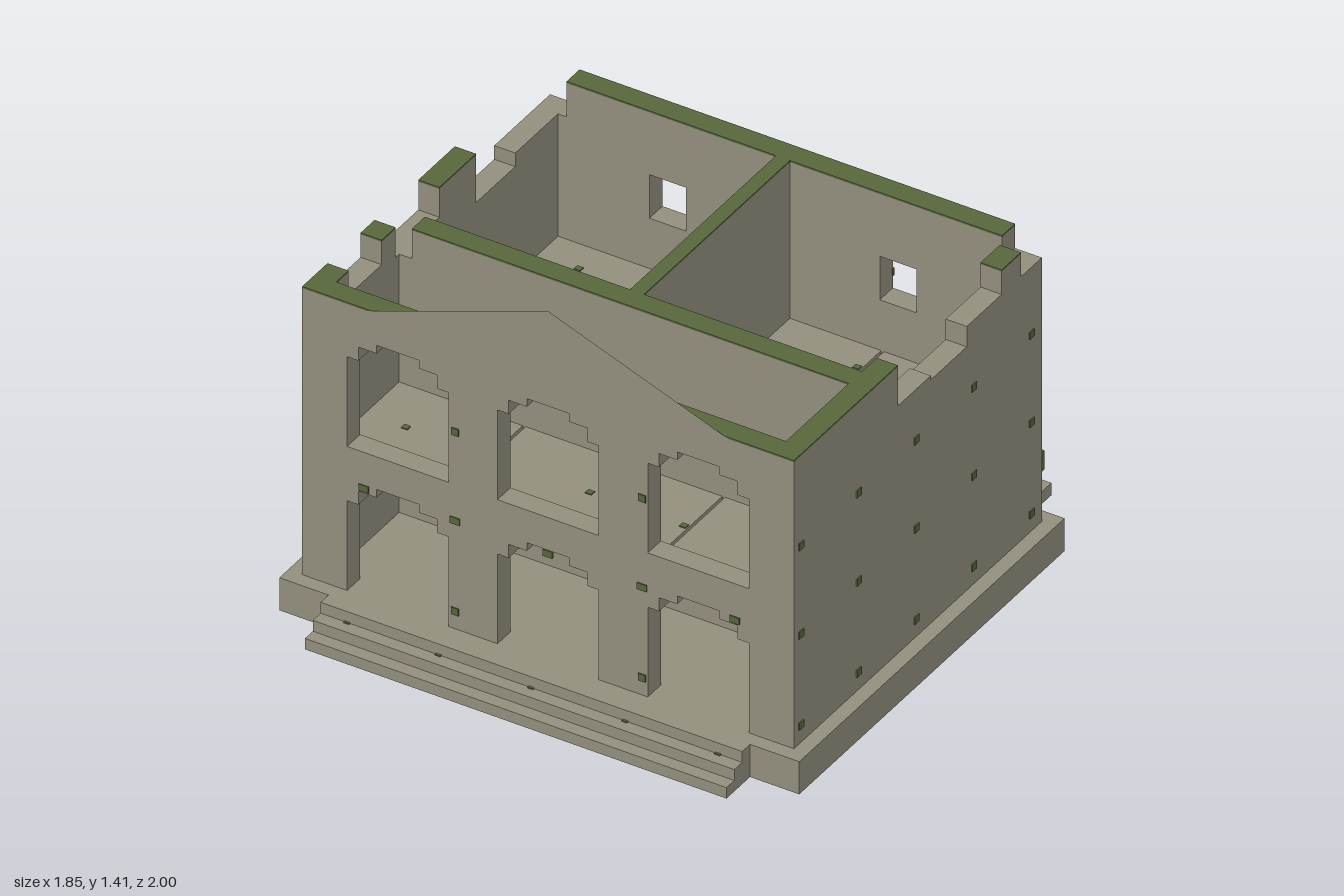
import * as THREE from 'three';

const stone = new THREE.MeshStandardMaterial({ color: 0x938f7d, side: THREE.DoubleSide });
stone.name = 'stone';
const moss = new THREE.MeshStandardMaterial({ color: 0x57663a });
moss.name = 'moss';

const T = 0.075;      // wall thickness
const TOP = 1.18;     // full wall height
const BASE = 0.12;    // foundation height
const CAP = 0.006;    // moss cap thickness

export function createModel() {
  const model = new THREE.Group();
  model.name = 'ruinedHouse';

  const add = (name, geometry, material, parent = model) => {
    const mesh = new THREE.Mesh(geometry, material);
    mesh.name = name;
    parent.add(mesh);
    return mesh;
  };

  // Box given by its minimum and maximum corners; "open" drops the bottom face
  const box = (name, x0, x1, y0, y1, z0, z1, material = stone, parent = model, open = false) => {
    const g = new THREE.BoxGeometry(x1 - x0, y1 - y0, z1 - z0);
    if (open) {
      const index = Array.from(g.index.array);
      index.splice(18, 6);
      g.setIndex(index);
      g.clearGroups();
    }
    g.translate((x0 + x1) / 2, (y0 + y1) / 2, (z0 + z1) / 2);
    return add(name, g, material, parent);
  };

  const toShape = (pts) => new THREE.Shape(pts.map(([x, y]) => new THREE.Vector2(x, y)));
  const extrude = (shape, depth = T) => new THREE.ExtrudeGeometry(shape, { depth, bevelEnabled: false });

  // Crumbled wall: segments are [end, height] going up from start, moss on the unbroken tops
  const brokenWall = (name, start, segments, holes = []) => {
    const wall = new THREE.Group();
    wall.name = name;
    model.add(wall);
    const pts = [[start, BASE]];
    let from = start;
    for (const [to, h] of segments) {
      const y = h === TOP ? TOP - CAP : h;
      pts.push([from, y], [to, y]);
      if (h === TOP) box('mossCap', from, to, y, TOP, 0, T, moss, wall);
      from = to;
    }
    pts.push([from, BASE]);
    const shape = toShape(pts);
    for (const h of holes) shape.holes.push(new THREE.Path(h.map(([x, y]) => new THREE.Vector2(x, y))));
    add('masonry', extrude(shape), stone, wall);
    return wall;
  };

  // Hollow foundation and front steps
  box('foundation', -0.925, 0.925, 0, BASE, -0.655, 0.865, stone, model, true);
  for (let i = 0; i < 3; i++) {
    const z = 0.865 + i * 0.045;
    box('step', -0.75, 0.75, 0, 0.12 - i * 0.04, z, z + 0.045, stone, model, true);
  }

  // Front wall: three doorways and three windows with stepped arches
  const arch = (cx, bottom, spring) => [
    [-0.18, bottom], [-0.18, spring], [-0.14, spring], [-0.14, spring + 0.05], [-0.075, spring + 0.05],
    [-0.075, spring + 0.08], [0.075, spring + 0.08], [0.075, spring + 0.05], [0.14, spring + 0.05],
    [0.14, spring], [0.18, spring], [0.18, bottom],
  ].map(([x, y]) => [cx + x, y]);
  const bays = [-0.535, 0, 0.535];
  const frontShape = toShape([
    [-0.875, BASE], ...bays.flatMap((x) => arch(x, BASE, 0.45)), [0.875, BASE],
    [0.875, TOP - CAP], [-0.875, TOP - CAP],
  ]);
  for (const x of bays) {
    frontShape.holes.push(new THREE.Path(arch(x, 0.65, 0.98).map(([a, b]) => new THREE.Vector2(a, b))));
  }
  add('frontWall', extrude(frontShape), stone).position.z = 0.74;
  box('frontMossCap', -0.875, 0.875, TOP - CAP, TOP, 0.74, 0.815, moss);

  // Paper-thin gable above the front wall
  const gable = toShape([[-0.645, TOP - CAP], [0.645, TOP - CAP], [0, 1.41]]);
  add('gable', new THREE.ShapeGeometry(gable), stone).position.z = 0.8155;

  // Back wall with four small windows
  const windows = [];
  for (const x of [-0.41, 0.41]) {
    for (const y of [0.33, 0.865]) {
      windows.push([[x - 0.065, y - 0.08], [x + 0.065, y - 0.08], [x + 0.065, y + 0.08], [x - 0.065, y + 0.08]]);
    }
  }
  brokenWall('backWall', -0.8, [[-0.77, 1.05], [0.78, TOP], [0.8, 1.09]], windows).position.z = -0.605;

  // Crumbled side walls
  const leftWall = brokenWall('leftWall', -0.605,
    [[-0.485, 1.09], [-0.375, TOP], [-0.175, 1.09], [0.03, 1.015], [0.22, 1.03], [0.74, TOP]]);
  const rightWall = brokenWall('rightWall', -0.605,
    [[-0.285, 1.05], [-0.06, 1.0], [0.15, TOP], [0.4, 1.07], [0.48, TOP], [0.67, 1.09], [0.74, TOP]]);
  leftWall.rotation.y = rightWall.rotation.y = -Math.PI / 2;
  leftWall.position.x = 0.875;
  rightWall.position.x = -0.8;

  // Inner walls
  brokenWall('crossWall', -0.8, [[-0.755, 1.07], [0.8, TOP]]).position.z = 0.305;
  box('spineWall', -0.025, 0.025, BASE, TOP - CAP, -0.53, 0.305);
  box('spineMossCap', -0.025, 0.025, TOP - CAP, TOP, -0.53, 0.305, moss);

  // Upper floor slabs with narrow gaps between them
  for (const [z0, z1] of [[-0.53, 0.305], [0.38, 0.74]]) {
    for (const [x0, x1] of [[-0.8, -0.36], [-0.35, 0.35], [0.36, 0.8]]) {
      box('floorSlab', x0, x1, 0.53, 0.6, z0, z1);
    }
  }

  // Small moss patches
  const patch = (x, y, z, sx, sy, sz) =>
    box('mossPatch', x - sx / 2, x + sx / 2, y - sy / 2, y + sy / 2, z - sz / 2, z + sz / 2, moss);
  const S = 0.026, D = 0.008;
  const columns = [-0.655, -0.33, 0, 0.335, 0.665];
  for (const y of [0.185, 0.52, 0.845]) {
    for (const z of [0.775, 0.445, 0.115, -0.215, -0.545]) {
      for (const x of [-0.875, 0.875]) patch(x, y, z, D, S, S);
    }
    for (const x of columns) {
      patch(x, y, -0.605, S, S, D);
      const onPier = Math.abs(Math.abs(x) - 0.33) < 0.02;
      if (y === 0.52) patch(x, 0.518, 0.815, 0.035, 0.024, D);
      else patch(x, y, onPier ? 0.815 : 0.38, onPier ? S : 0.012, onPier ? S : 0.015, D);
    }
  }
  for (const x of columns) {
    patch(x, 0.08, 0.91, 0.02, D, 0.015);
    for (const z of [-0.415, -0.08, 0.245, 0.575]) {
      if (x !== 0 || z > 0.5) patch(x, 0.6, z, 0.022, D, 0.02);
    }
  }

  // Fallen blocks behind the house
  box('rubble', 0.42, 0.5, 0, 0.08, -1, -0.91, moss);
  box('rubble', 0.51, 0.645, 0, 0.07, -0.99, -0.925, moss);
  box('rubble', 0.535, 0.645, 0, 0.065, -0.71, -0.66, moss);
  box('rubble', 0.6, 0.68, 0, 0.075, -0.885, -0.81);
  box('rubble', 0.68, 0.735, 0, 0.045, -0.885, -0.81);

  return model;
}
